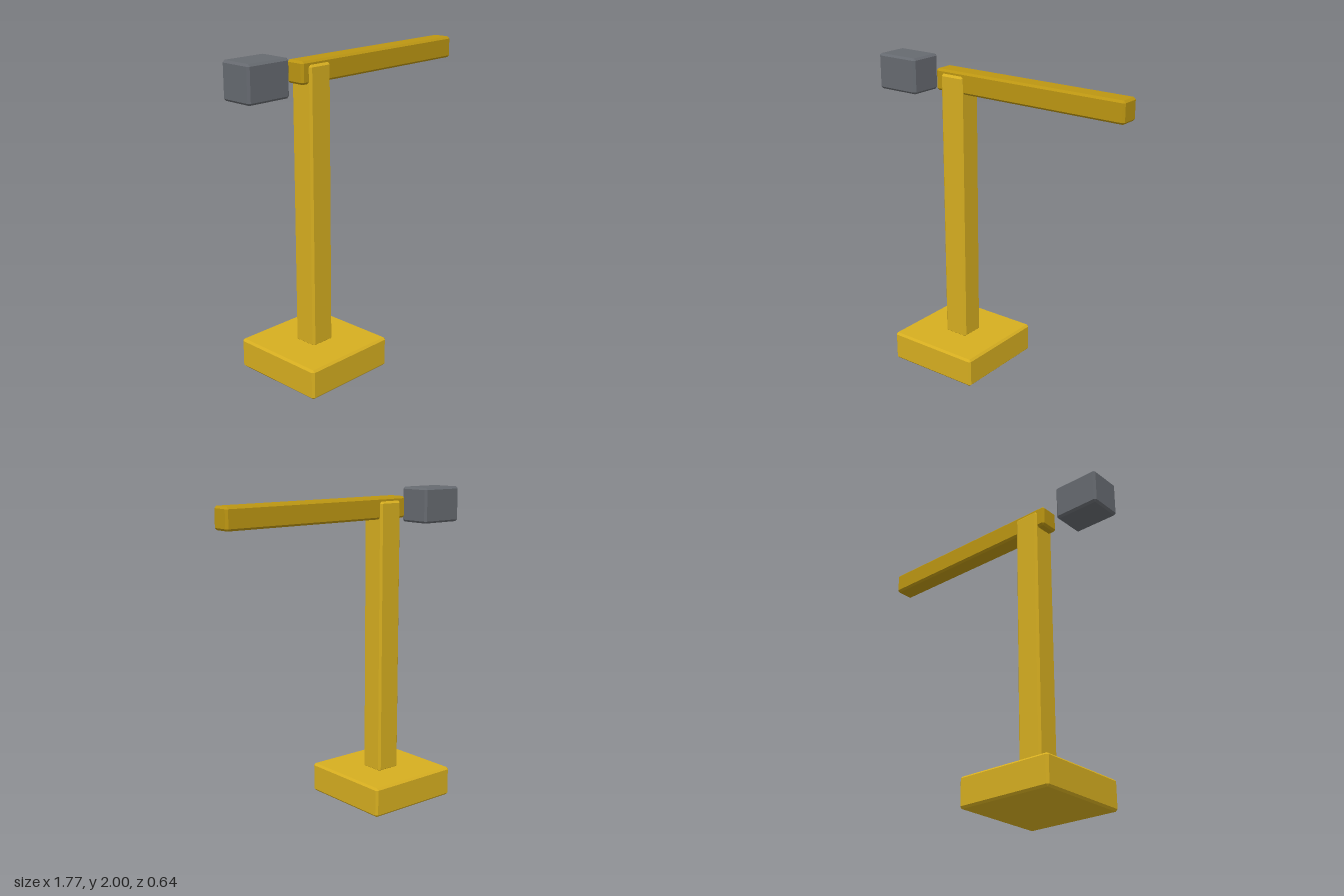
import * as THREE from 'three';
import { ConvexGeometry } from 'three/addons/geometries/ConvexGeometry.js';

const BEVEL = 0.013;

// Box between two corners with all edges chamfered
function chamferBox(min, max, bevel = BEVEL) {
  const centre = min.map((v, i) => (v + max[i]) / 2);
  const half = min.map((v, i) => (max[i] - v) / 2);
  const points = [];
  for (const sx of [-1, 1]) for (const sy of [-1, 1]) for (const sz of [-1, 1]) {
    const sign = [sx, sy, sz];
    // Each corner becomes three points, one per touching face
    for (let face = 0; face < 3; face++) {
      const p = sign.map((s, i) => s * (half[i] - (i === face ? 0 : bevel)));
      points.push(new THREE.Vector3(...p));
    }
  }
  const geometry = new ConvexGeometry(points);
  geometry.translate(...centre);
  return geometry;
}

export function createModel() {
  const group = new THREE.Group();
  group.name = 'towerCrane';

  const yellow = new THREE.MeshStandardMaterial({ color: 0xd6ae20, flatShading: true });
  const darkYellow = new THREE.MeshStandardMaterial({ color: 0xbc9612, flatShading: true });
  const grey = new THREE.MeshStandardMaterial({ color: 0x666a70, flatShading: true });

  const addPart = (name, material, min, max) => {
    const mesh = new THREE.Mesh(chamferBox(min, max), material);
    mesh.name = name;
    group.add(mesh);
  };

  addPart('base', yellow, [-0.64, 0, -0.32], [0, 0.19, 0.32]);
  addPart('mast', yellow, [-0.4, 0.18, -0.08], [-0.235, 1.93, 0.08]);
  addPart('jib', darkYellow, [-0.45, 1.82, -0.065], [0.885, 1.955, 0.065]);
  // The counterweight floats behind the jib's short end
  addPart('counterweight', grey, [-0.885, 1.775, -0.11], [-0.585, 2, 0.11]);

  return group;
}
